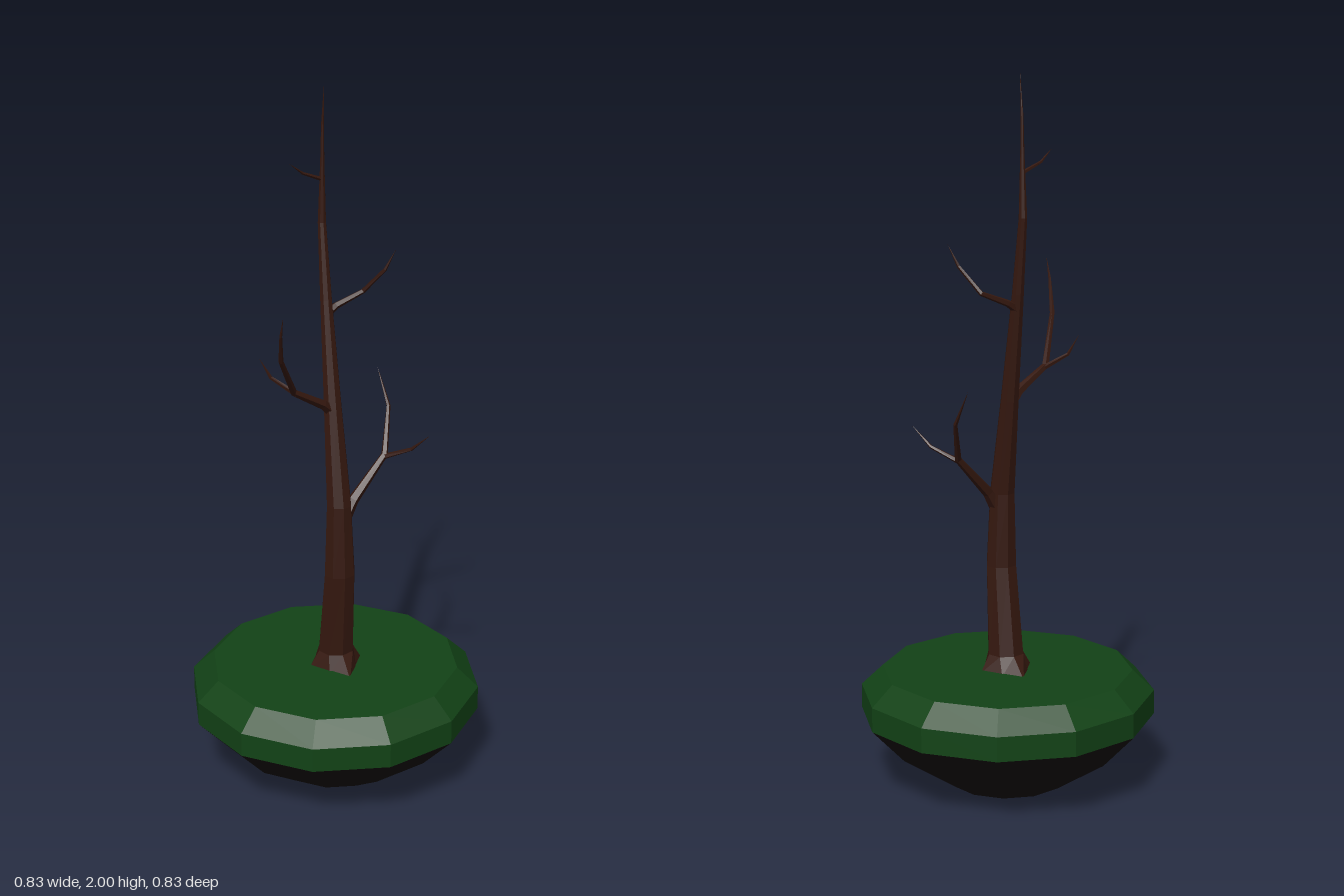
import * as THREE from 'three';

const mat = (color) => new THREE.MeshStandardMaterial({ color, flatShading: true });
const V = (p) => new THREE.Vector3(p[0], p[1], p[2]);

// Skin a list of equal-length rings (counter-clockwise around the growing direction)
function loft(rings) {
  const n = rings[0].length, pos = [], index = [];
  rings.forEach((ring) => ring.forEach((p) => pos.push(p.x, p.y, p.z)));
  for (let i = 0; i < rings.length - 1; i++) {
    for (let j = 0; j < n; j++) {
      const k = (j + 1) % n;
      const a = i * n + j, b = i * n + k, c = b + n, d = a + n;
      index.push(a, b, c, a, c, d);
    }
  }
  const g = new THREE.BufferGeometry();
  g.setAttribute('position', new THREE.Float32BufferAttribute(pos, 3));
  g.setIndex(index);
  g.computeVertexNormals();
  return g;
}

// Tapered limb through points [x, y, z, radius]
function limb(points, sides = 5) {
  const c = points.map(V);
  const rings = c.map((p, i) => {
    const t = c[Math.min(i + 1, c.length - 1)].clone().sub(c[Math.max(i - 1, 0)]).normalize();
    const u = new THREE.Vector3(0, 0, 1).addScaledVector(t, -t.z).normalize();
    const v = t.clone().cross(u);
    return Array.from({ length: sides }, (_, j) => {
      const a = (j / sides) * Math.PI * 2, r = points[i][3];
      return p.clone().addScaledVector(u, Math.cos(a) * r).addScaledVector(v, Math.sin(a) * r);
    });
  });
  return loft(rings);
}

export function createModel() {
  const model = new THREE.Group();
  const bark = mat(0x35180f), grass = mat(0x124216), soil = mat(0x130d0b);
  const add = (name, geometry, material, parent = model) => {
    const mesh = new THREE.Mesh(geometry, material);
    mesh.name = name;
    parent.add(mesh);
    return mesh;
  };
  const lathe = (pts) => new THREE.LatheGeometry(pts.map((p) => new THREE.Vector2(p[0], p[1])), 12);

  // Floating-island base: dark soil below, turf on top
  add('soil', lathe([[0, 0], [0.168, 0], [0.32, 0.1], [0.415, 0.2]]), soil);
  add('turf', lathe([[0.415, 0.2], [0.415, 0.27], [0.354, 0.328], [0, 0.328]]), grass);

  // Trunk stations: y, z centre, half width in x, half depth in z, root flare of the diagonals
  const stations = [
    [0.32, 0.007, 0.08, 0.112, 0.72],
    [0.37, 0.01, 0.052, 0.052, 1],
    [0.62, 0.038, 0.045, 0.041, 1],
    [0.83, 0.032, 0.036, 0.036, 1],
    [1.1, -0.014, 0.026, 0.026, 1],
    [1.4, -0.064, 0.017, 0.017, 1],
    [1.61, -0.094, 0.012, 0.012, 1],
    [1.78, -0.09, 0.006, 0.006, 1],
    [1.88, -0.088, 0.004, 0.004, 1],
    [2.0, -0.075, 0, 0, 1],
  ];
  add('trunk', loft(stations.map(([y, z, rx, rz, flare]) =>
    Array.from({ length: 8 }, (_, j) => {
      const a = (j / 8) * Math.PI * 2, k = j % 2 ? flare : 1;
      return new THREE.Vector3(Math.sin(a) * rx * k, y, z + Math.cos(a) * rz * k);
    }))), bark);

  // Branches with their side twigs
  const branches = {
    lowerLeftBranch: [
      [[0.01, 0.78, 0.035, 0.022], [0.045, 0.835, 0.028, 0.016], [0.15, 0.945, 0, 0.01],
        [0.19, 1.06, -0.07, 0.006], [0.18, 1.16, -0.13, 0]],
      [[0.145, 0.938, 0, 0.008], [0.205, 0.975, 0.06, 0.005], [0.24, 1.03, 0.11, 0]],
    ],
    middleRightBranch: [
      [[0, 1.09, -0.015, 0.018], [-0.035, 1.122, 0, 0.014], [-0.13, 1.18, 0.025, 0.01],
        [-0.2, 1.31, 0.12, 0.007], [-0.22, 1.4, 0.175, 0.004], [-0.222, 1.46, 0.2, 0]],
      [[-0.12, 1.172, 0.025, 0.008], [-0.18, 1.215, -0.015, 0.005], [-0.208, 1.27, -0.028, 0]],
    ],
    upperLeftBranch: [
      [[0, 1.36, -0.06, 0.014], [0.03, 1.378, -0.066, 0.01], [0.11, 1.41, -0.066, 0.007],
        [0.155, 1.48, -0.02, 0.005], [0.18, 1.54, -0.003, 0]],
    ],
    topRightTwig: [
      [[0, 1.73, -0.092, 0.006], [-0.06, 1.755, -0.08, 0.004], [-0.105, 1.79, -0.06, 0]],
    ],
  };
  for (const [name, limbs] of Object.entries(branches)) {
    const group = new THREE.Group();
    group.name = name;
    limbs.forEach((pts, i) => add(i ? 'sideTwig' : 'mainLimb', limb(pts), bark, group));
    model.add(group);
  }
  return model;
}
